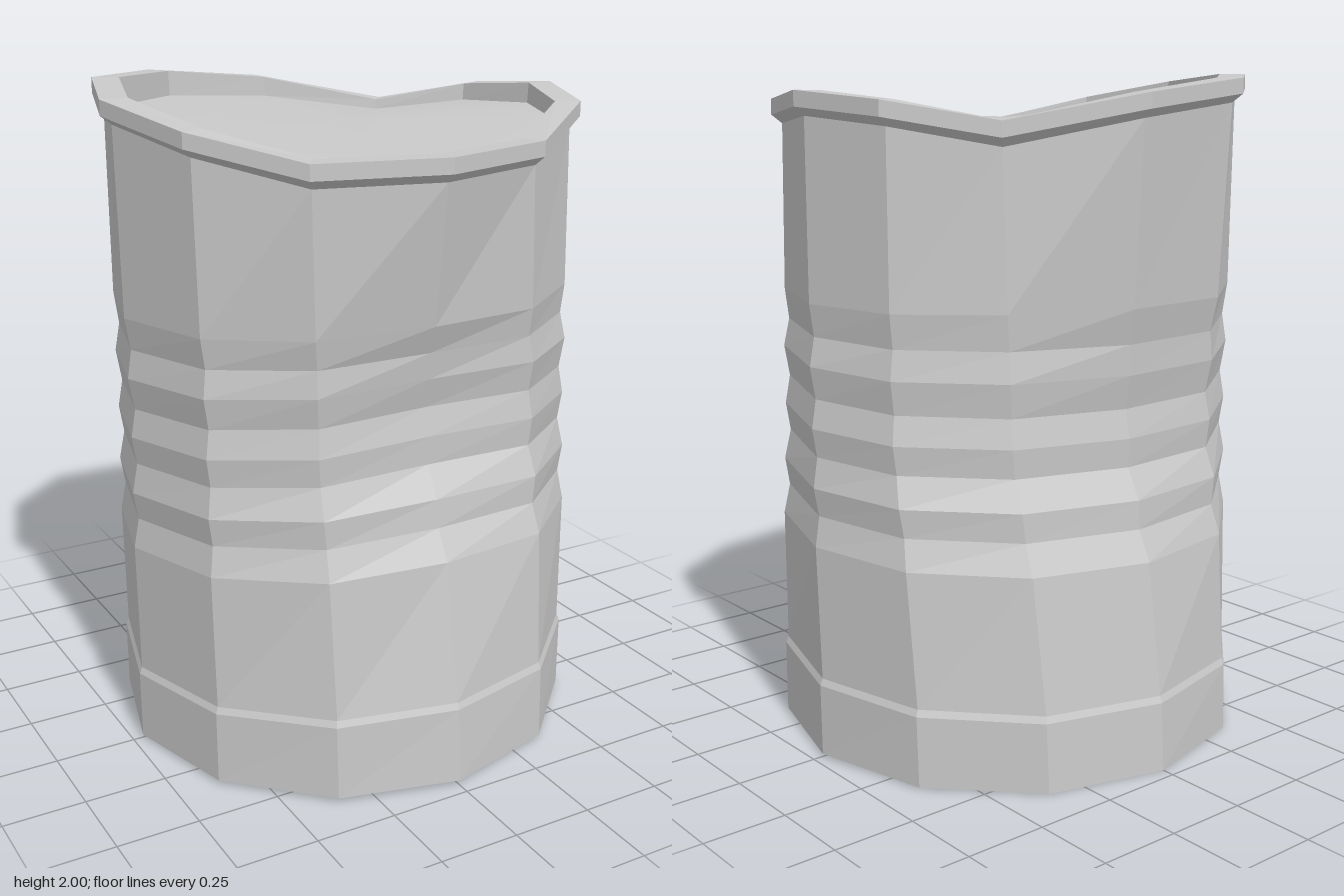
import * as THREE from 'three';

const N = 12;

// Rings as [x, z] corners, starting at the front and turning towards the left (+x).
const base = Array.from({ length: N }, (_, k) => {
  const a = (k * Math.PI) / 6;
  return [0.718 * Math.sin(a), 0.712 * Math.cos(a)];
});
const waist = [[0, 0.49], [0.36, 0.497], [0.615, 0.31], [0.712, 0.01], [0.62, -0.25], [0.36, -0.45],
  [0, -0.535], [-0.35, -0.52], [-0.61, -0.34], [-0.702, 0], [-0.61, 0.32], [-0.355, 0.497]];
// Crumpled rim as [x, z, top height].
const rim = [[-0.03, 0.65, 1.86], [0.33, 0.56, 1.865], [0.65, 0.3, 1.925], [0.745, 0.02, 1.95],
  [0.67, -0.28, 1.925], [0.4, -0.46, 1.87], [0.03, -0.645, 1.945], [-0.36, -0.62, 1.985],
  [-0.64, -0.375, 2], [-0.75, -0.02, 1.98], [-0.66, 0.33, 1.93], [-0.41, 0.56, 1.86]];

const mix = THREE.MathUtils.lerp;
const ringAt = (scale, drop) => rim.map(([x, z, y]) => [x * scale, y - drop, z * scale]);

// Wall rows: height, blend (0 base, 1 waist, 2 top), rib scale, sag at the back.
const rows = [
  [0.245, 0.08, 1.004, 0.02], [0.265, 0.08, 0.992, 0.02], [0.685, 0.45, 1.008, 0.035],
  [0.775, 0.62, 0.988, 0.035], [0.86, 0.72, 1.01, 0.035], [0.95, 0.92, 0.99, 0.035],
  [1.035, 0.96, 1.01, 0.035], [1.12, 1, 0.99, 0.035], [1.21, 1.08, 1.012, 0.03],
  [1.29, 1.25, 0.988, 0.025], [1.375, 1.42, 1.005, 0.015],
];

function wallRow([y, t, scale, sag]) {
  return base.map((b, k) => {
    const w = waist[k], top = rim[k];
    const at = (i) => (t <= 1 ? mix(b[i], w[i], t) : mix(w[i], top[i] * 0.957, t - 1)) * scale;
    return [at(0), y - sag * (1 - Math.cos((k * Math.PI) / 6)), at(1)];
  });
}

// Joins successive rings with flat facets.
function loft(rings) {
  const pos = rings.flat(2), index = [];
  for (let r = 0; r < rings.length - 1; r++) {
    for (let k = 0; k < N; k++) {
      const a = r * N + k, b = r * N + ((k + 1) % N);
      index.push(a, b, b + N, a, b + N, a + N);
    }
  }
  const g = new THREE.BufferGeometry();
  g.setAttribute('position', new THREE.Float32BufferAttribute(pos, 3));
  g.setIndex(index);
  const flat = g.toNonIndexed();
  flat.computeVertexNormals();
  return flat;
}

// Closes a ring with a fan around a centre point; smooth across the fan.
function cap(ring, centre, up) {
  const index = [];
  for (let k = 0; k < N; k++) {
    const n = (k + 1) % N;
    index.push(...(up ? [N, k, n] : [N, n, k]));
  }
  const g = new THREE.BufferGeometry();
  g.setAttribute('position', new THREE.Float32BufferAttribute([...ring.flat(), ...centre], 3));
  g.setIndex(index);
  g.computeVertexNormals();
  return g;
}

export function createModel() {
  const group = new THREE.Group();
  const metal = new THREE.MeshStandardMaterial({ color: 0xc8c8c8 });
  metal.name = 'grey metal';
  const add = (name, geometry) => {
    const mesh = new THREE.Mesh(geometry, metal);
    mesh.name = name;
    group.add(mesh);
  };

  // Dented, ribbed wall
  const foot = base.map(([x, z]) => [x, 0.008 + 0.011 * z, z]);
  const wallTop = ringAt(0.957, 0.07);
  add('wall', loft([foot, ...rows.map(wallRow), wallTop]));
  add('bottom', cap(foot, [0, 0.008, 0], false));

  // Bent rim: underside bevel, outer band, flat lip and inner step
  const lidRing = ringAt(0.885, 0).map(([x, y, z]) => [x, 1.87 + 0.6 * (y - 1.92), z]);
  add('rim', loft([wallTop, ringAt(1, 0.045), ringAt(1, 0), ringAt(0.89, 0), lidRing]));

  // Sunken lid
  add('lid', cap(lidRing, [0, 1.872, 0], true));
  return group;
}
